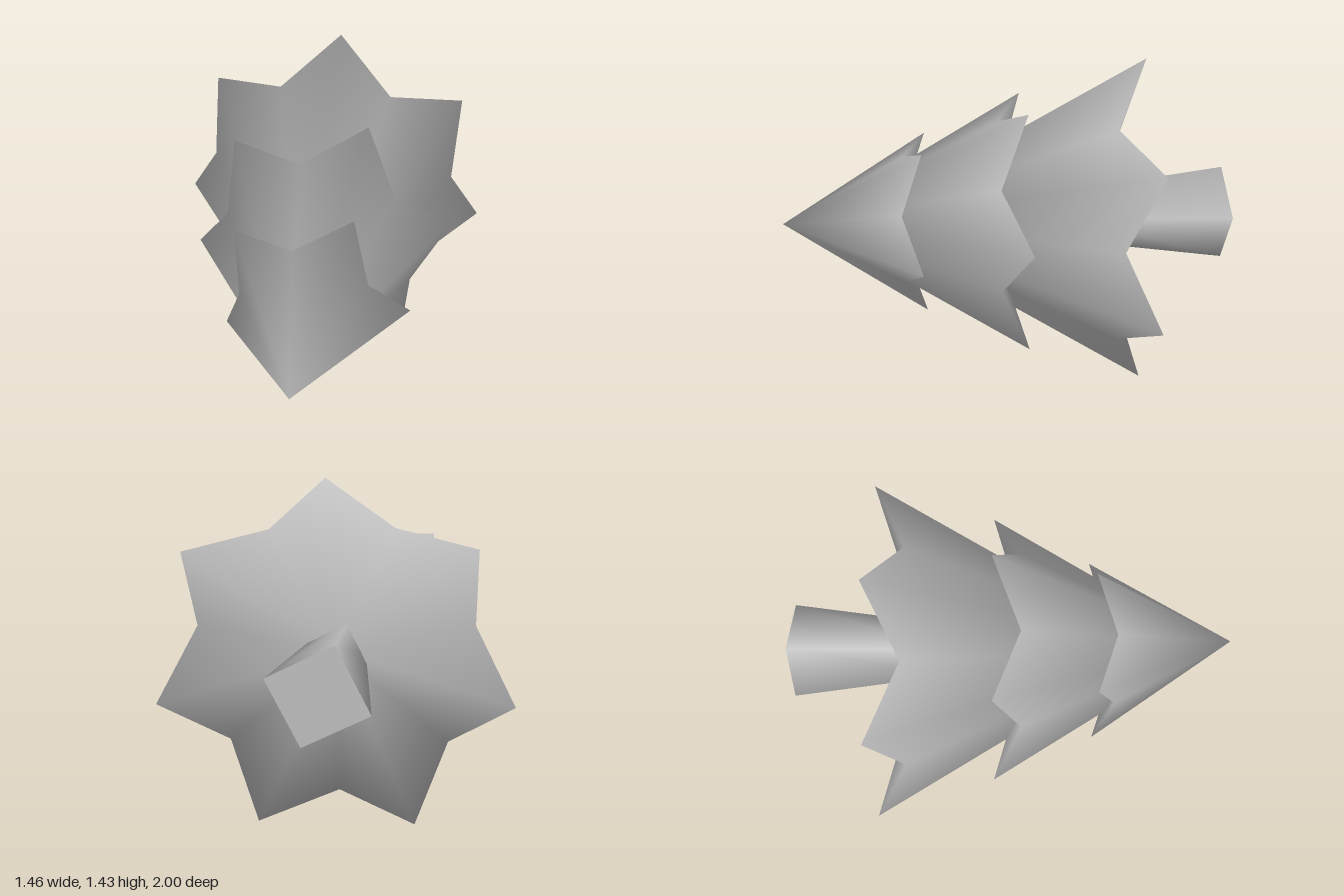
import * as THREE from 'three';

const CENTRE_Y = 0.695;
const grey = new THREE.MeshStandardMaterial({ color: 0xbcbcbc });
grey.name = 'plain grey';

// Average the unit face normals round each shared vertex
function softenEvenly(geo) {
  const pos = geo.attributes.position, idx = geo.index;
  const sums = Array.from({ length: pos.count }, () => new THREE.Vector3());
  const tri = new THREE.Triangle(), n = new THREE.Vector3();
  for (let f = 0; f < idx.count; f += 3) {
    const v = [0, 1, 2].map((k) => idx.getX(f + k));
    tri.setFromAttributeAndIndices(pos, ...v);
    tri.getNormal(n);
    v.forEach((k) => sums[k].add(n));
  }
  const normals = sums.flatMap((s) => s.normalize().toArray());
  geo.setAttribute('normal', new THREE.Float32BufferAttribute(normals, 3));
}

// Star-edged cone pointing to +z, closed by a hollow underside
function tier({ name, points, angle, tipR, valleyR, tipZ, valleyZ, apex, base, x, y }) {
  const verts = [...apex, ...base], faces = [], count = points * 2;
  for (let i = 0; i < count; i++) {
    const a = THREE.MathUtils.degToRad(angle) + (i * Math.PI) / points;
    const isTip = i % 2 === 0, r = isTip ? tipR : valleyR;
    verts.push(x + r * Math.cos(a), y + r * Math.sin(a), isTip ? tipZ : valleyZ);
    const p = 2 + i, q = 2 + ((i + 1) % count);
    faces.push(0, p, q, 1, q, p);
  }
  const geo = new THREE.BufferGeometry();
  geo.setAttribute('position', new THREE.Float32BufferAttribute(verts, 3));
  geo.setIndex(faces);
  softenEvenly(geo);
  const mesh = new THREE.Mesh(geo, grey);
  mesh.name = name;
  return mesh;
}

export function createModel() {
  const group = new THREE.Group();
  group.name = 'lyingTree';

  // Three foliage tiers, widest at the back
  group.add(
    tier({ name: 'topFoliage', points: 5, angle: 65.5, tipR: 0.434, valleyR: 0.292, tipZ: 0.36, valleyZ: 0.45,
      apex: [0.035, 0.7, 0.995], base: [0.02, 0.698, 0.5], x: 0.02, y: 0.698 }),
    tier({ name: 'middleFoliage', points: 6, angle: 71.2, tipR: 0.603, valleyR: 0.442, tipZ: -0.09, valleyZ: 0.03,
      apex: [0.02, 0.698, 0.91], base: [0.01, 0.695, 0.09], x: 0.012, y: 0.695 }),
    tier({ name: 'lowerFoliage', points: 7, angle: 88.5, tipR: 0.75, valleyR: 0.59, tipZ: -0.605, valleyZ: -0.46,
      apex: [0.01, 0.7, 0.67], base: [0, 0.69, -0.39], x: 0, y: 0.69 }),
  );

  // Four-sided trunk flaring towards its foot
  const trunkGeo = new THREE.CylinderGeometry(0.208, 0.117, 0.7, 4, 1, false, THREE.MathUtils.degToRad(72));
  trunkGeo.rotateX(-Math.PI / 2);
  const trunk = new THREE.Mesh(trunkGeo, grey);
  trunk.name = 'trunk';
  trunk.position.set(0, CENTRE_Y - 0.005, -0.65);
  group.add(trunk);

  return group;
}
